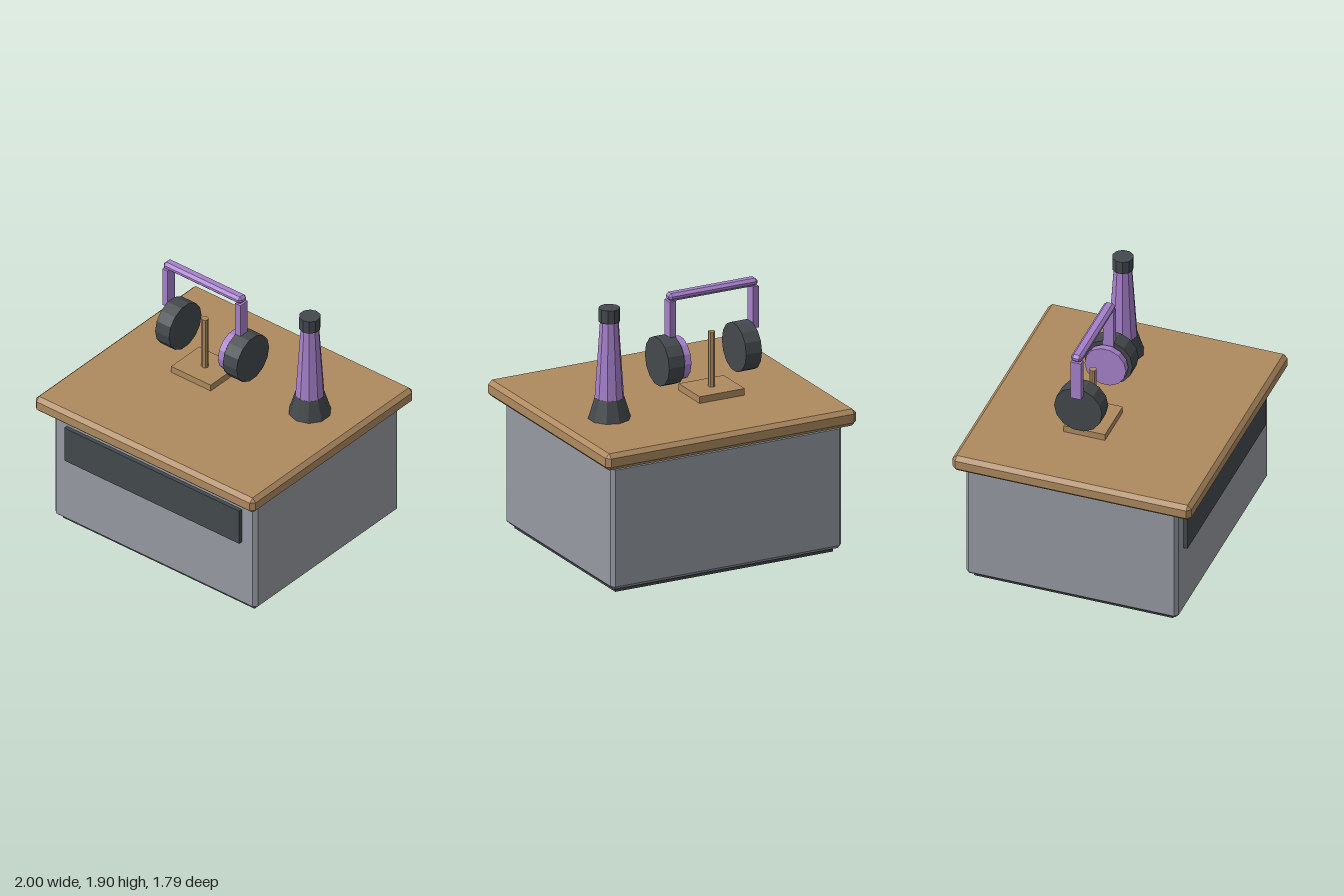
import * as THREE from 'three';
import { ConvexGeometry } from 'three/addons/geometries/ConvexGeometry.js';

// Box from min/max corners, with all edges cut at 45 degrees
function chamferedBox(w, h, d, c) {
  const points = [];
  for (const x of [-1, 1]) for (const y of [-1, 1]) for (const z of [-1, 1]) {
    for (let face = 0; face < 3; face++) {
      points.push(new THREE.Vector3(
        x * (w / 2 - (face === 0 ? 0 : c)),
        y * (h / 2 - (face === 1 ? 0 : c)),
        z * (d / 2 - (face === 2 ? 0 : c))));
    }
  }
  return new ConvexGeometry(points);
}

export function createModel() {
  const model = new THREE.Group();
  model.name = 'counterWithHeadset';

  const material = (name, color) => {
    const m = new THREE.MeshStandardMaterial({ color, flatShading: true });
    m.name = name;
    return m;
  };
  const wood = material('wood', 0xae8a60);
  const grey = material('grey', 0x969aa2);
  const dark = material('charcoal', 0x44494d);
  const purple = material('purple', 0xa781cc);

  const add = (parent, name, geometry, mat, x, y, z) => {
    const mesh = new THREE.Mesh(geometry, mat);
    mesh.name = name;
    mesh.position.set(x, y, z);
    parent.add(mesh);
    return mesh;
  };
  const group = (name, x, y, z) => {
    const g = new THREE.Group();
    g.name = name;
    g.position.set(x, y, z);
    model.add(g);
    return g;
  };

  // Cabinet
  const cabinet = group('cabinet', 0, 0, 0);
  add(cabinet, 'plinth', new THREE.BoxGeometry(1.74, 0.05, 1.49), dark, 0, 0.025, -0.025);
  add(cabinet, 'body', chamferedBox(1.84, 0.925, 1.59, 0.026), grey, 0, 0.4925, -0.025);
  add(cabinet, 'frontPanel', new THREE.BoxGeometry(1.59, 0.28, 0.05), dark, 0, 0.71, 0.775);
  add(cabinet, 'countertop', chamferedBox(2, 0.125, 1.79, 0.03), wood, 0, 1.0175, 0);

  // Stand under the headset
  const stand = group('headsetStand', -0.26, 1.08, -0.105);
  add(stand, 'standBase', new THREE.BoxGeometry(0.36, 0.05, 0.31), wood, 0, 0.025, 0);
  add(stand, 'standPost', new THREE.CylinderGeometry(0.026, 0.026, 0.42, 8), wood, 0, 0.25, 0);

  // Headset: band, arms, cups and one cushion
  const headset = group('headset', -0.26, 0, -0.105);
  add(headset, 'headband', chamferedBox(0.71, 0.058, 0.083, 0.02), purple, 0, 1.857, 0);
  const disc = (r, w) => new THREE.CylinderGeometry(r, r, w, 14).rotateZ(Math.PI / 2);
  add(headset, 'rightArm', new THREE.BoxGeometry(0.048, 0.31, 0.08), purple, -0.331, 1.675, 0);
  add(headset, 'leftArm', new THREE.BoxGeometry(0.048, 0.31, 0.08), purple, 0.331, 1.675, 0);
  add(headset, 'rightCup', disc(0.18, 0.126), dark, -0.242, 1.39, 0);
  add(headset, 'leftCup', disc(0.18, 0.126), dark, 0.373, 1.39, 0);
  add(headset, 'leftCushion', disc(0.155, 0.05), purple, 0.27, 1.39, 0);

  // Tapered flask with flared foot and cap
  const flask = group('flask', 0.612, 0, -0.205);
  add(flask, 'flaskFoot', new THREE.CylinderGeometry(0.106, 0.153, 0.155, 10), dark, 0, 1.1575, 0);
  add(flask, 'flaskBody', new THREE.CylinderGeometry(0.067, 0.105, 0.565, 10), purple, 0, 1.5175, 0);
  add(flask, 'flaskCap', new THREE.CylinderGeometry(0.077, 0.077, 0.1, 10), dark, 0, 1.85, 0);

  return model;
}
